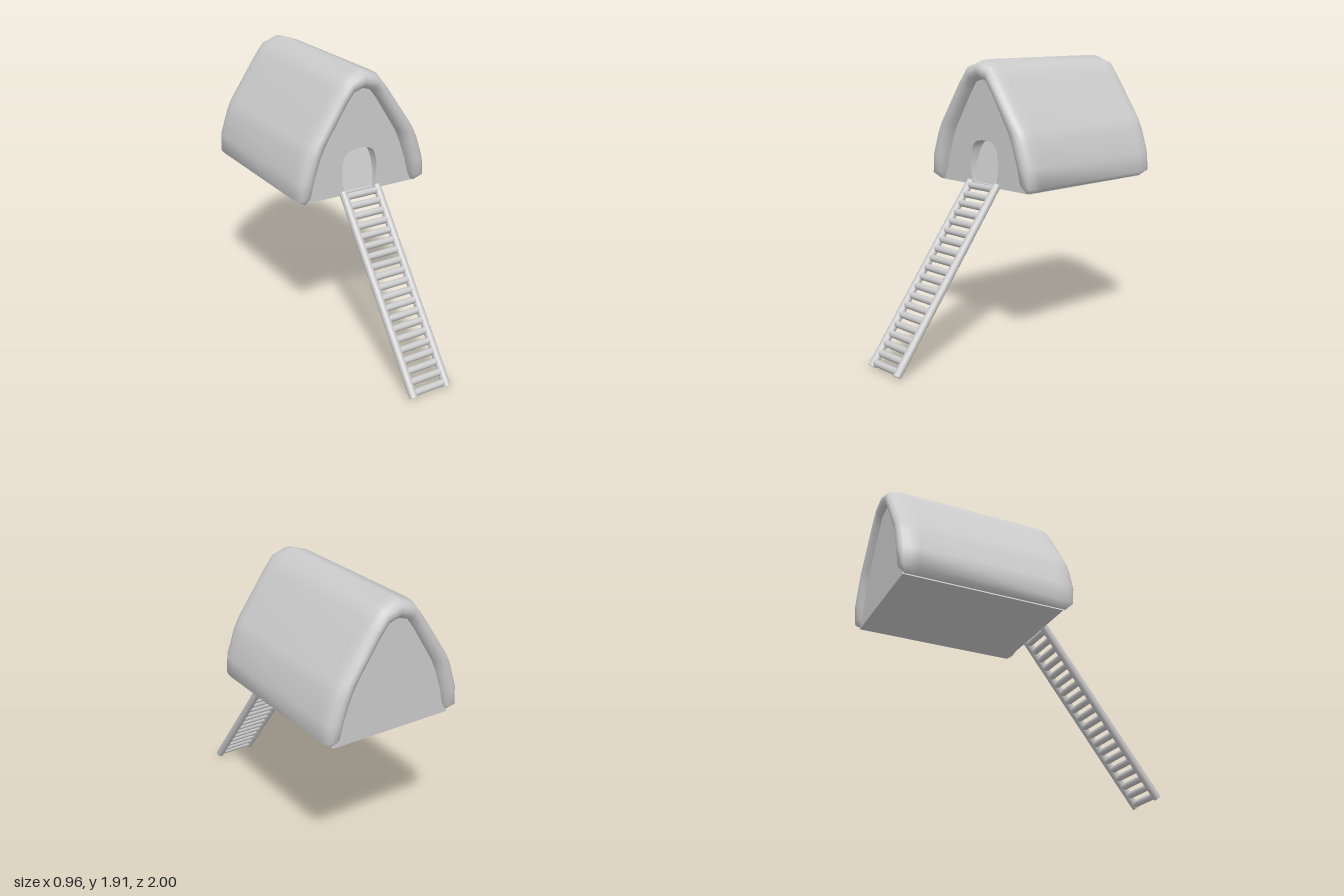
import * as THREE from 'three';

const material = new THREE.MeshStandardMaterial({ color: 0xcccccc, side: THREE.DoubleSide });
const MID_Z = -0.392; // middle of the house along z

// Half profiles of the arched roof, from ridge to eave
const OUTER = [[0, 1.91], [0.115, 1.87], [0.185, 1.78], [0.39, 1.485], [0.425, 1.41], [0.477, 1.25], [0.482, 1.125], [0.425, 1.09]];
const INNER = [[0, 1.785], [0.07, 1.765], [0.12, 1.7], [0.27, 1.46], [0.305, 1.38], [0.35, 1.25], [0.375, 1.15], [0.405, 1.09]];

const mirrored = (half) => [...half.slice(1).reverse().map(([x, y]) => [-x, y]), ...half];

function addMesh(parent, name, geometry) {
  const mesh = new THREE.Mesh(geometry, material);
  mesh.name = name;
  parent.add(mesh);
  return mesh;
}

// Padded roof: a section wrapping round both rims, swept along the arch
function roofGeometry() {
  const rim = [[1, 0.47], [1, 0.52], [0.95, 0.565], [0.8, 0.595], [0.55, 0.607], [0.32, 0.602], [0.14, 0.58], [0.03, 0.54], [0, 0.48]];
  const section = [...rim, ...rim.slice().reverse().map(([t, h]) => [t, -h])];
  const outer = mirrored(OUTER), inner = mirrored(INNER);
  const positions = [], index = [];
  const n = section.length, last = outer.length - 1;
  outer.forEach(([ox, oy], i) => {
    const fromEnd = Math.min(i, last - i);
    const limit = [0.545, 0.59, 0.607][Math.min(fromEnd, 2)]; // rounds the eave corners
    section.forEach(([t, h], j) => {
      const z = THREE.MathUtils.clamp(h, -limit, limit);
      positions.push(ox + (inner[i][0] - ox) * t, oy + (inner[i][1] - oy) * t, MID_Z + z);
      if (i < last && j < n - 1) {
        const a = i * n + j, b = a + n;
        index.push(a, b, b + 1, a, b + 1, a + 1);
      }
    });
  });
  const geometry = new THREE.BufferGeometry();
  geometry.setAttribute('position', new THREE.Float32BufferAttribute(positions, 3));
  geometry.setIndex(index);
  geometry.computeVertexNormals();
  return geometry;
}

// Wall outline tucked just inside the roof
function wallShape() {
  const half = INNER.slice(0, -1).map(([x, y], i) => [
    x + (OUTER[i][0] - x) * 0.15, y + (OUTER[i][1] - y) * 0.15,
  ]);
  half.push([0.42, 1.085]);
  return new THREE.Shape(mirrored(half).map(([x, y]) => new THREE.Vector2(x, y)));
}

function doorPath(Type) {
  const path = new Type();
  path.moveTo(-0.112, 1.1);
  path.bezierCurveTo(-0.135, 1.18, -0.135, 1.25, -0.122, 1.31);
  path.bezierCurveTo(-0.11, 1.37, -0.07, 1.387, 0, 1.387);
  path.bezierCurveTo(0.07, 1.387, 0.11, 1.37, 0.122, 1.31);
  path.bezierCurveTo(0.135, 1.25, 0.135, 1.18, 0.112, 1.1);
  path.closePath();
  return path;
}

function extrude(shape, z0, z1) {
  const geometry = new THREE.ExtrudeGeometry(shape, { depth: z1 - z0, bevelEnabled: false, curveSegments: 8 });
  return geometry.translate(0, 0, z0);
}

function createHouse() {
  const house = new THREE.Group();
  house.name = 'house';
  addMesh(house, 'roof', roofGeometry());
  addMesh(house, 'body', extrude(wallShape(), -0.955, 0.03));
  const front = wallShape();
  front.holes.push(doorPath(THREE.Path));
  addMesh(house, 'frontWall', extrude(front, 0.03, 0.14));
  // Recessed door leaning back towards the top
  const door = new THREE.ShapeGeometry(doorPath(THREE.Shape), 8);
  const p = door.attributes.position;
  for (let i = 0; i < p.count; i++) p.setZ(i, 0.115 - (p.getY(i) - 1.1) * 0.25);
  door.computeVertexNormals();
  addMesh(house, 'door', door);
  return house;
}

function createLadder() {
  const ladder = new THREE.Group();
  ladder.name = 'ladder';
  const foot = new THREE.Vector3(0, 0.02, 0.978);
  const top = new THREE.Vector3(0, 1.108, 0.145);
  const span = top.clone().sub(foot);
  const lean = Math.atan2(span.z, span.y);
  const railX = 0.128;

  // Side rails
  for (const side of [-1, 1]) {
    const rail = addMesh(ladder, side > 0 ? 'leftRail' : 'rightRail',
      new THREE.CylinderGeometry(0.027, 0.027, span.length(), 14));
    rail.position.copy(foot).lerp(top, 0.5).setX(side * railX);
    rail.rotation.x = lean;
  }

  // Rungs
  const count = 20;
  const rungGeometry = new THREE.CylinderGeometry(0.023, 0.023, railX * 2 - 0.02, 12).rotateZ(Math.PI / 2);
  for (let i = 0; i < count; i++) {
    const rung = addMesh(ladder, 'rung', rungGeometry);
    rung.position.copy(foot).lerp(top, 0.02 + (i / (count - 1)) * 0.955);
  }
  return ladder;
}

export function createModel() {
  const model = new THREE.Group();
  model.name = 'raisedHutWithLadder';
  model.add(createHouse(), createLadder());
  return model;
}
